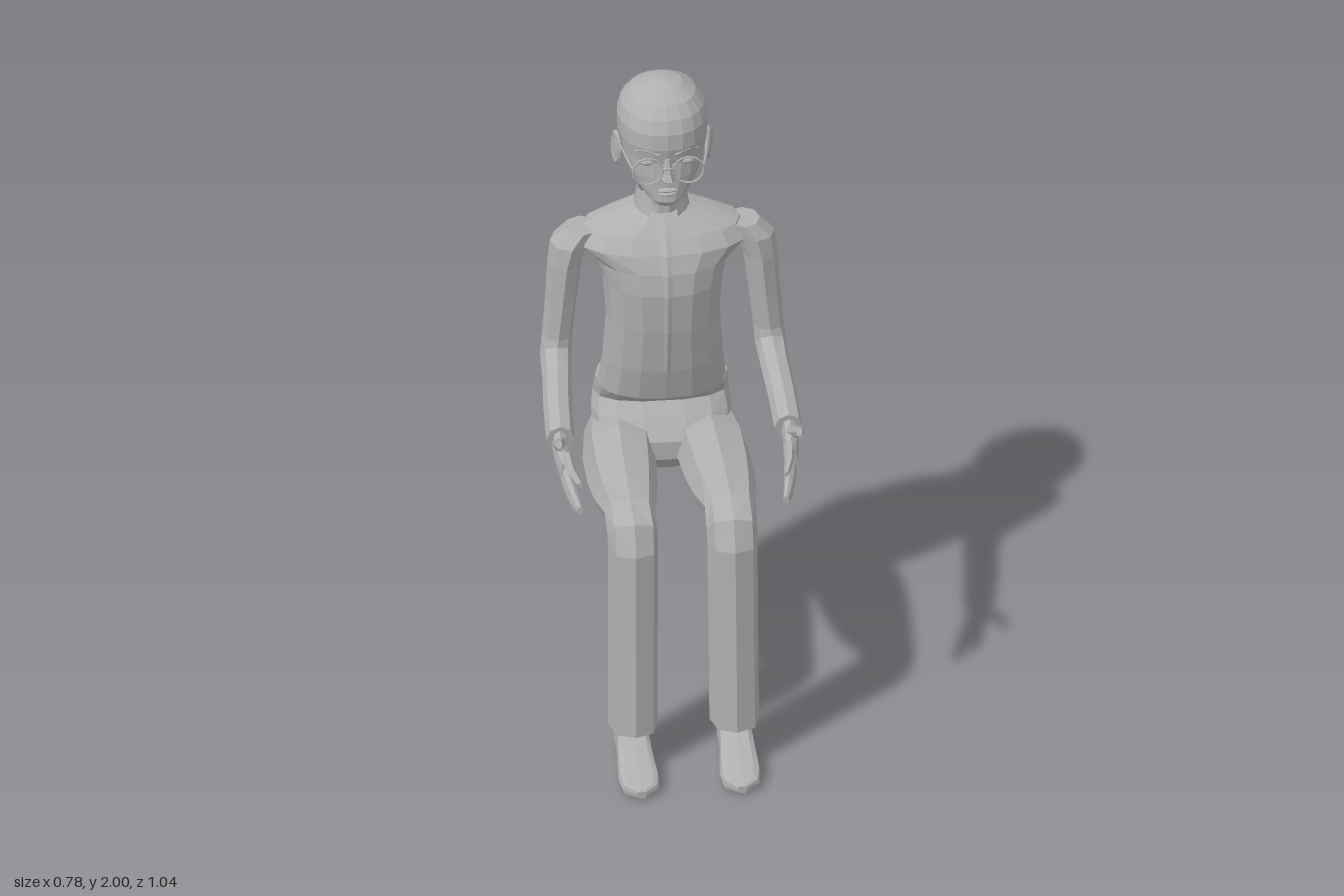
import * as THREE from 'three';

const clay = new THREE.MeshStandardMaterial({ color: 0xb0b0b0, flatShading: true, side: THREE.DoubleSide });
clay.name = 'grey';

const mesh = (name, geo) => {
  const m = new THREE.Mesh(geo, clay);
  m.name = name;
  return m;
};

// Skin a row of rings [x, y, z, halfWidth, halfDepth, tilt]; tilt 0 lies flat, 90 stands upright.
function loft(rings, n = 8, power = 1) {
  const pos = [], idx = [];
  const bend = v => Math.sign(v) * Math.pow(Math.abs(v), power);
  for (const [x, y, z, rx, rd, tilt = 0] of rings) {
    const t = THREE.MathUtils.degToRad(tilt);
    for (let i = 0; i < n; i++) {
      const a = (i / n) * Math.PI * 2;
      const d = rd * bend(Math.sin(a));
      pos.push(x + rx * bend(Math.cos(a)), y + d * Math.sin(t), z + d * Math.cos(t));
    }
  }
  for (let r = 0; r < rings.length - 1; r++) {
    for (let i = 0; i < n; i++) {
      const a = r * n + i, b = r * n + (i + 1) % n;
      idx.push(a, b, b + n, a, b + n, a + n);
    }
  }
  // End caps
  const last = (rings.length - 1) * n;
  for (let i = 1; i < n - 1; i++) {
    idx.push(0, i + 1, i, last, last + i, last + i + 1);
  }
  // Face outward, whichever way the rings run
  let volume = 0;
  const p = k => new THREE.Vector3().fromArray(pos, k * 3);
  for (let k = 0; k < idx.length; k += 3) volume += p(idx[k]).dot(p(idx[k + 1]).cross(p(idx[k + 2])));
  if (volume < 0) idx.reverse();
  const g = new THREE.BufferGeometry();
  g.setAttribute('position', new THREE.Float32BufferAttribute(pos, 3));
  g.setIndex(idx);
  g.computeVertexNormals();
  return g;
}

// Flat ring from [y, front z, back z, half width]
const level = ([y, f, b, w]) => [0, y, (f + b) / 2, w, (f - b) / 2, 0];
// Upright ring from [z, x, half width, top y, bottom y]
const upright = ([z, x, w, t, b]) => [x, (t + b) / 2, z, w, (t - b) / 2, 90];

const ball = (name, x, y, z, sx, sy, sz) => {
  const m = mesh(name, new THREE.SphereGeometry(1, 10, 6));
  m.position.set(x, y, z);
  m.scale.set(sx, sy, sz);
  return m;
};

const rod = (name, points, r) => mesh(name, new THREE.TubeGeometry(
  new THREE.CatmullRomCurve3(points.map(q => new THREE.Vector3(...q))), 8, r, 5));

function makeHead() {
  const g = new THREE.Group();
  g.name = 'head';
  g.add(mesh('skull', loft([
    [1.642, -0.205, -0.26, 0.03], [1.66, -0.193, -0.32, 0.058], [1.7, -0.197, -0.4, 0.09],
    [1.74, -0.198, -0.46, 0.114], [1.79, -0.203, -0.5, 0.128], [1.84, -0.194, -0.518, 0.136],
    [1.89, -0.198, -0.515, 0.137], [1.93, -0.217, -0.5, 0.126], [1.965, -0.25, -0.465, 0.1],
    [1.99, -0.3, -0.42, 0.06], [2, -0.34, -0.38, 0.02],
  ].map(level), 20, 0.92)));
  g.add(mesh('neck', loft([[1.48, -0.3, -0.46, 0.07], [1.58, -0.305, -0.435, 0.052],
    [1.72, -0.29, -0.43, 0.055]].map(level), 10)));
  g.add(mesh('nose', loft([[1.732, -0.185, -0.22, 0.02], [1.745, -0.163, -0.22, 0.022],
    [1.765, -0.175, -0.22, 0.014], [1.81, -0.192, -0.22, 0.009]].map(level), 6)));
  g.add(ball('upperLip', 0, 1.702, -0.197, 0.032, 0.007, 0.012));
  g.add(ball('lowerLip', 0, 1.689, -0.197, 0.027, 0.008, 0.012));
  g.add(rod('glassesBridge', [[-0.018, 1.785, -0.178], [0, 1.79, -0.172], [0.018, 1.785, -0.178]], 0.0035));
  for (const s of [-1, 1]) {
    g.add(ball('eye', s * 0.058, 1.79, -0.222, 0.026, 0.012, 0.014));
    g.add(rod('eyebrow', [[s * 0.025, 1.822, -0.2], [s * 0.06, 1.832, -0.214], [s * 0.093, 1.82, -0.24]], 0.006));
    const lens = mesh('glassesRim', new THREE.TorusGeometry(0.045, 0.0035, 5, 18));
    lens.position.set(s * 0.062, 1.78, -0.18);
    g.add(lens);
    g.add(rod('glassesTemple', [[s * 0.105, 1.79, -0.18], [s * 0.116, 1.795, -0.22], [s * 0.137, 1.8, -0.35]], 0.0035));
    // Ear: dish with a raised rim
    const ear = new THREE.Group();
    ear.name = 'ear';
    const rim = mesh('earRim', new THREE.TorusGeometry(0.025, 0.008, 5, 12));
    rim.scale.y = 1.8;
    ear.add(rim, ball('earDish', 0, 0, 0, 0.026, 0.045, 0.008));
    ear.position.set(s * 0.139, 1.775, -0.345);
    ear.rotation.y = s * 1.25;
    g.add(ear);
  }
  return g;
}

function makeTorso() {
  const g = new THREE.Group();
  g.name = 'torso';
  const body = [
    [0.94, -0.25, -0.505, 0.195], [1.05, -0.222, -0.482, 0.182], [1.2, -0.197, -0.485, 0.172],
    [1.33, -0.187, -0.503, 0.182], [1.4, -0.197, -0.503, 0.2], [1.455, -0.22, -0.497, 0.26],
    [1.5, -0.253, -0.487, 0.235], [1.525, -0.275, -0.475, 0.17], [1.555, -0.3, -0.46, 0.08],
  ];
  g.add(mesh('jacket', loft(body.map(level), 16, 0.9)));
  g.add(mesh('zipPlacket', loft(body.slice(1, 8).map(([y, f], i) =>
    [0, Math.max(y, 1.02), f, 0.011 + i * 0.0015, 0.005, 0]), 4, 0.5)));
  const collar = mesh('collar', new THREE.CylinderGeometry(0.073, 0.086, 0.075, 12, 1, true, 0.5, Math.PI * 2 - 1));
  collar.position.set(0, 1.58, -0.38);
  collar.scale.z = 1.12;
  g.add(collar);
  g.add(mesh('hips', loft([
    [0.95, -0.27, -0.515, 0.2], [0.89, -0.32, -0.517, 0.205], [0.845, -0.28, -0.515, 0.212],
    [0.79, -0.24, -0.505, 0.21], [0.73, -0.24, -0.48, 0.18], [0.68, -0.28, -0.44, 0.09],
  ].map(level), 14, 0.8)));
  return g;
}

// Model's left side; the right is mirrored
function makeLeg() {
  const g = new THREE.Group();
  g.name = 'leg';
  g.add(mesh('trouserLeg', loft([
    ...[[-0.465, 0.12, 0.07, 0.8, 0.7], [-0.42, 0.125, 0.105, 0.83, 0.65], [-0.25, 0.142, 0.11, 0.853, 0.628],
      [-0.1, 0.147, 0.106, 0.852, 0.65], [0.02, 0.15, 0.096, 0.848, 0.685]].map(upright),
    [0.152, 0.8, 0.16, 0.077, 0.045, 85],
    [0.15, 0.767, 0.23, 0.077, 0.085, 45],
    [0.15, 0.725, 0.24, 0.076, 0.092, 5],
    [0.152, 0.4, 0.252, 0.075, 0.091, 0],
    [0.153, 0.12, 0.265, 0.075, 0.091, 0],
  ], 8, 0.85)));
  g.add(mesh('ankle', loft([[0.155, 0.06, 0.26, 0.045, 0.055], [0.155, 0.16, 0.265, 0.04, 0.05]], 8)));
  g.add(mesh('shoe', loft([
    [0.2, 0.155, 0.04, 0.09, 0.004], [0.235, 0.155, 0.052, 0.115, 0], [0.31, 0.155, 0.052, 0.11, 0.004],
    [0.36, 0.155, 0.056, 0.08, 0.006], [0.44, 0.153, 0.062, 0.056, 0], [0.49, 0.152, 0.054, 0.042, 0],
    [0.517, 0.152, 0.014, 0.028, 0.004],
  ].map(upright), 12, 0.6)));
  return g;
}

function makeArm() {
  const g = new THREE.Group();
  g.name = 'arm';
  g.add(mesh('sleeve', loft([
    [0.245, 1.495, -0.36, 0.05, 0.06, 0],
    [0.28, 1.45, -0.36, 0.06, 0.074, 0],
    [0.296, 1.38, -0.355, 0.052, 0.068, 0],
    [0.308, 1.25, -0.35, 0.048, 0.058, 0],
    [0.32, 1.13, -0.345, 0.046, 0.052, 5],
    [0.325, 1.075, -0.33, 0.048, 0.058, 45],
    [0.33, 1.045, -0.24, 0.045, 0.042, 80],
    [0.34, 1.005, -0.12, 0.044, 0.042, 85],
    [0.345, 0.967, 0, 0.043, 0.045, 85],
  ], 8)));
  g.add(mesh('palm', loft([
    [-0.02, 0.345, 0.022, 1, 0.935], [0.03, 0.348, 0.024, 0.995, 0.91], [0.08, 0.345, 0.024, 0.99, 0.885],
    [0.13, 0.338, 0.02, 0.975, 0.868],
  ].map(upright), 8)));
  g.add(mesh('fingers', loft([
    [0.11, 0.34, 0.02, 0.955, 0.87], [0.17, 0.332, 0.018, 0.93, 0.85], [0.22, 0.322, 0.015, 0.905, 0.842],
    [0.255, 0.311, 0.009, 0.88, 0.852],
  ].map(upright), 8)));
  g.add(mesh('indexFinger', loft([
    [0.1, 0.338, 0.017, 0.985, 0.94], [0.18, 0.33, 0.013, 0.972, 0.943], [0.26, 0.312, 0.008, 0.968, 0.95],
  ].map(upright), 6)));
  g.add(mesh('thumb', loft([
    [0.04, 0.348, 0.018, 1, 0.95], [0.1, 0.36, 0.016, 1.03, 0.985], [0.145, 0.364, 0.013, 1.05, 1.02],
    [0.182, 0.362, 0.008, 1.05, 1.032],
  ].map(upright), 6)));
  return g;
}

export function createModel() {
  const model = new THREE.Group();
  model.name = 'seatedFigure';
  model.add(makeHead(), makeTorso());
  for (const [side, s] of [['left', 1], ['right', -1]]) {
    const limbs = new THREE.Group();
    limbs.name = side + 'Limbs';
    limbs.add(makeArm(), makeLeg());
    limbs.scale.x = s;
    model.add(limbs);
  }
  return model;
}
